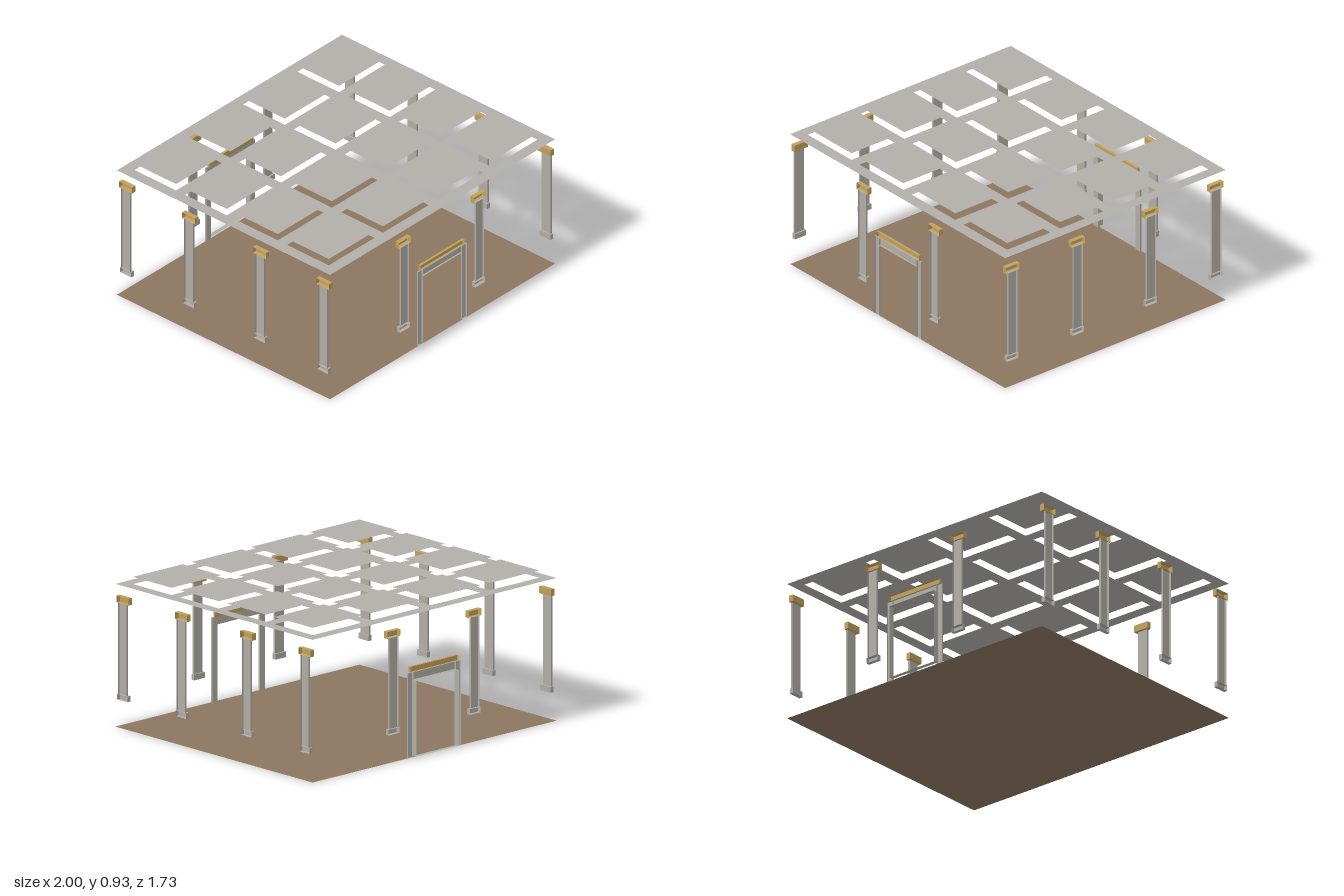
import * as THREE from 'three';

const material = (name, color) => {
  const m = new THREE.MeshStandardMaterial({ color, side: THREE.DoubleSide });
  m.name = name;
  return m;
};

const FRONT = 0.867, BACK = -0.842, SIDE = 1;
const CEILING = 0.882, COFFER = 0.927;

export function createModel() {
  const stone = material('stone', 0xb0aca5);
  const plaster = material('plaster', 0xb2aeaa);
  const gold = material('gold', 0xc0a05c);
  const earth = material('floor brown', 0x8b7560);

  const model = new THREE.Group();
  model.name = 'hall';

  const add = (parent, name, geometry, mat) => {
    const mesh = new THREE.Mesh(geometry, mat);
    mesh.name = name;
    parent.add(mesh);
    return mesh;
  };

  // Box standing on a wall at z = 0, open at the back
  const wallBox = (x0, x1, y0, y1, depth) => {
    const g = new THREE.BoxGeometry(x1 - x0, y1 - y0, depth);
    g.setIndex(Array.from(g.index.array.slice(0, 30)));
    g.clearGroups();
    return g.translate((x0 + x1) / 2, (y0 + y1) / 2, depth / 2);
  };

  // Horizontal rectangle
  const slab = (x0, x1, z0, z1, y) =>
    new THREE.PlaneGeometry(x1 - x0, z1 - z0).rotateX(-Math.PI / 2)
      .translate((x0 + x1) / 2, y, (z0 + z1) / 2);

  // Floor
  add(model, 'floor', slab(-SIDE, SIDE, BACK, FRONT, 0), earth);

  // Ceiling grid with raised coffer panels
  const xs = [[-0.927, -0.521], [-0.445, -0.039], [0.039, 0.445], [0.521, 0.927]];
  const zs = [[-0.767, -0.433], [-0.361, -0.027], [0.048, 0.382], [0.457, 0.791]];
  const rect = (path, x0, x1, z0, z1) =>
    path.moveTo(x0, -z0).lineTo(x1, -z0).lineTo(x1, -z1).lineTo(x0, -z1).closePath();
  const grid = rect(new THREE.Shape(), -SIDE, SIDE, BACK, FRONT);
  for (const [x0, x1] of xs) {
    for (const [z0, z1] of zs) {
      grid.holes.push(rect(new THREE.Path(), x0, x1, z0, z1));
      add(model, 'cofferPanel', slab(x0, x1, z0, z1, COFFER), plaster);
    }
  }
  add(model, 'ceilingGrid',
    new THREE.ShapeGeometry(grid).rotateX(-Math.PI / 2).translate(0, CEILING, 0), plaster);

  // Pilaster: base, shaft and gilded capital
  const addPilaster = (x, z, turn) => {
    const p = new THREE.Group();
    p.name = 'pilaster';
    add(p, 'base', wallBox(-0.044, 0.044, 0.171, 0.206, 0.024), stone);
    add(p, 'shaft', wallBox(-0.036, 0.036, 0.206, 0.77, 0.013), stone);
    add(p, 'capital', wallBox(-0.052, 0.052, 0.77, 0.812, 0.03), gold);
    p.position.set(x, 0, z);
    p.rotation.y = turn;
    model.add(p);
  };
  for (const x of [-0.333, 0.333]) {
    addPilaster(x, FRONT, Math.PI);
    addPilaster(x, BACK, 0);
  }
  for (const z of [-0.772, -0.267, 0.3, 0.807]) {
    addPilaster(-SIDE, z, Math.PI / 2);
    addPilaster(SIDE, z, -Math.PI / 2);
  }

  // Door surrounds on the front and back walls
  for (const [z, turn] of [[FRONT, Math.PI], [BACK, 0]]) {
    const door = new THREE.Group();
    door.name = 'doorSurround';
    add(door, 'jamb', wallBox(-0.216, -0.174, 0, 0.524, 0.011), stone);
    add(door, 'jamb', wallBox(0.174, 0.216, 0, 0.524, 0.011), stone);
    add(door, 'lintel', wallBox(-0.174, 0.174, 0.476, 0.524, 0.011), stone);
    add(door, 'cornice', wallBox(-0.197, 0.197, 0.524, 0.561, 0.016), gold);
    door.position.z = z;
    door.rotation.y = turn;
    model.add(door);
  }

  // Open passage behind the back door
  const end = -0.868;
  for (const y of [0.008, 0.476]) {
    add(model, y < 0.1 ? 'threshold' : 'passageTop', slab(-0.174, 0.174, end, BACK, y), stone);
  }
  for (const x of [-0.174, 0.174]) {
    add(model, 'passageSide', new THREE.PlaneGeometry(BACK - end, 0.468)
      .rotateY(Math.PI / 2).translate(x, 0.242, (BACK + end) / 2), stone);
  }

  return model;
}
